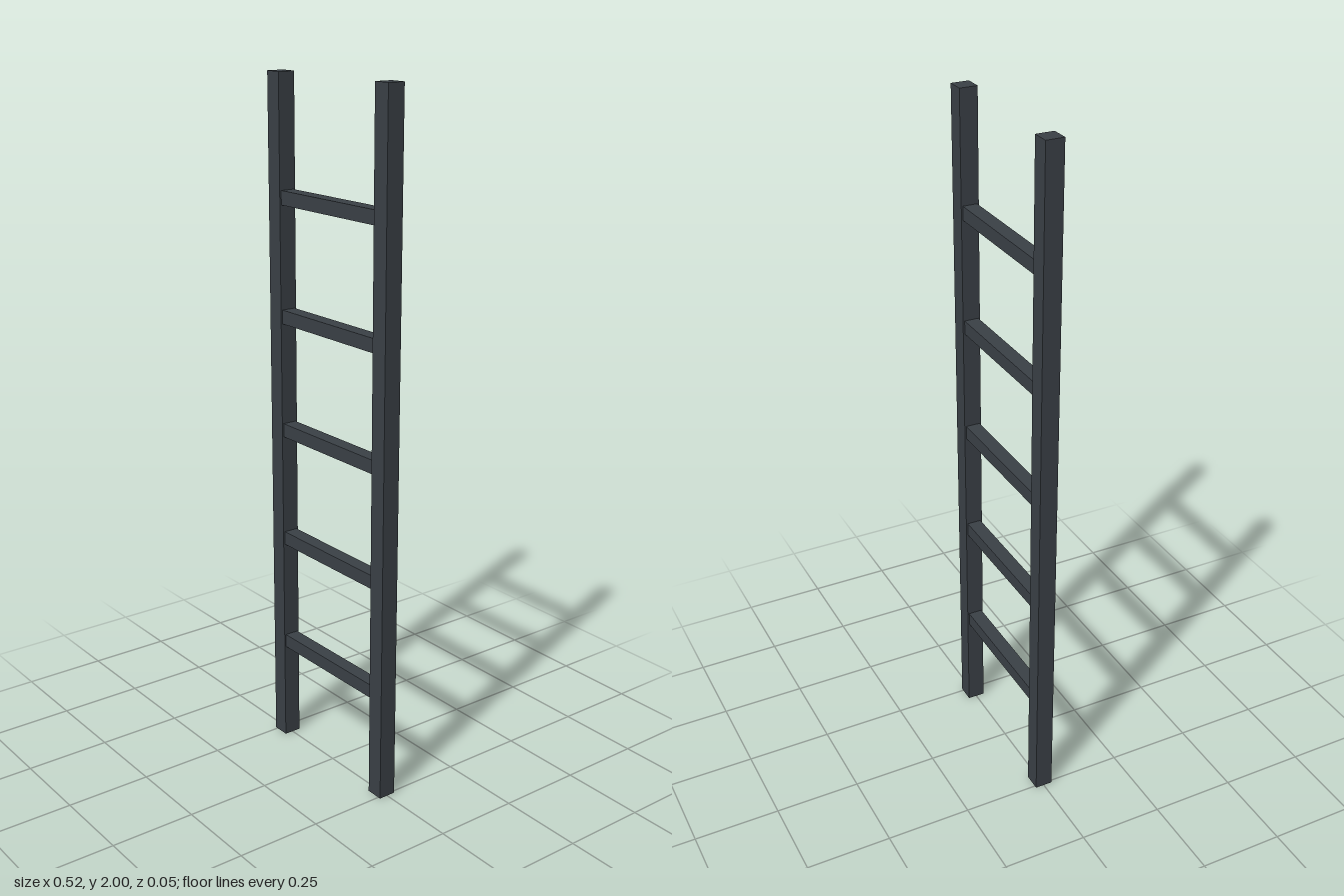
import * as THREE from 'three';

export function createModel() {
  const ladder = new THREE.Group();
  ladder.name = 'ladder';

  const darkMetal = new THREE.MeshStandardMaterial({ color: 0x3a4046 });
  darkMetal.name = 'dark metal';

  function addBox(name, w, h, d, x, y) {
    const mesh = new THREE.Mesh(new THREE.BoxGeometry(w, h, d), darkMetal);
    mesh.name = name;
    mesh.position.set(x, y, 0);
    ladder.add(mesh);
  }

  // Upright side rails
  addBox('leftRail', 0.052, 2, 0.052, 0.232, 1);
  addBox('rightRail', 0.052, 2, 0.052, -0.232, 1);

  // Evenly spaced rungs between the rails
  for (let i = 0; i < 5; i++) {
    addBox(`rung${i + 1}`, 0.412, 0.04, 0.042, 0, 0.318 + i * 0.336);
  }

  return ladder;
}
